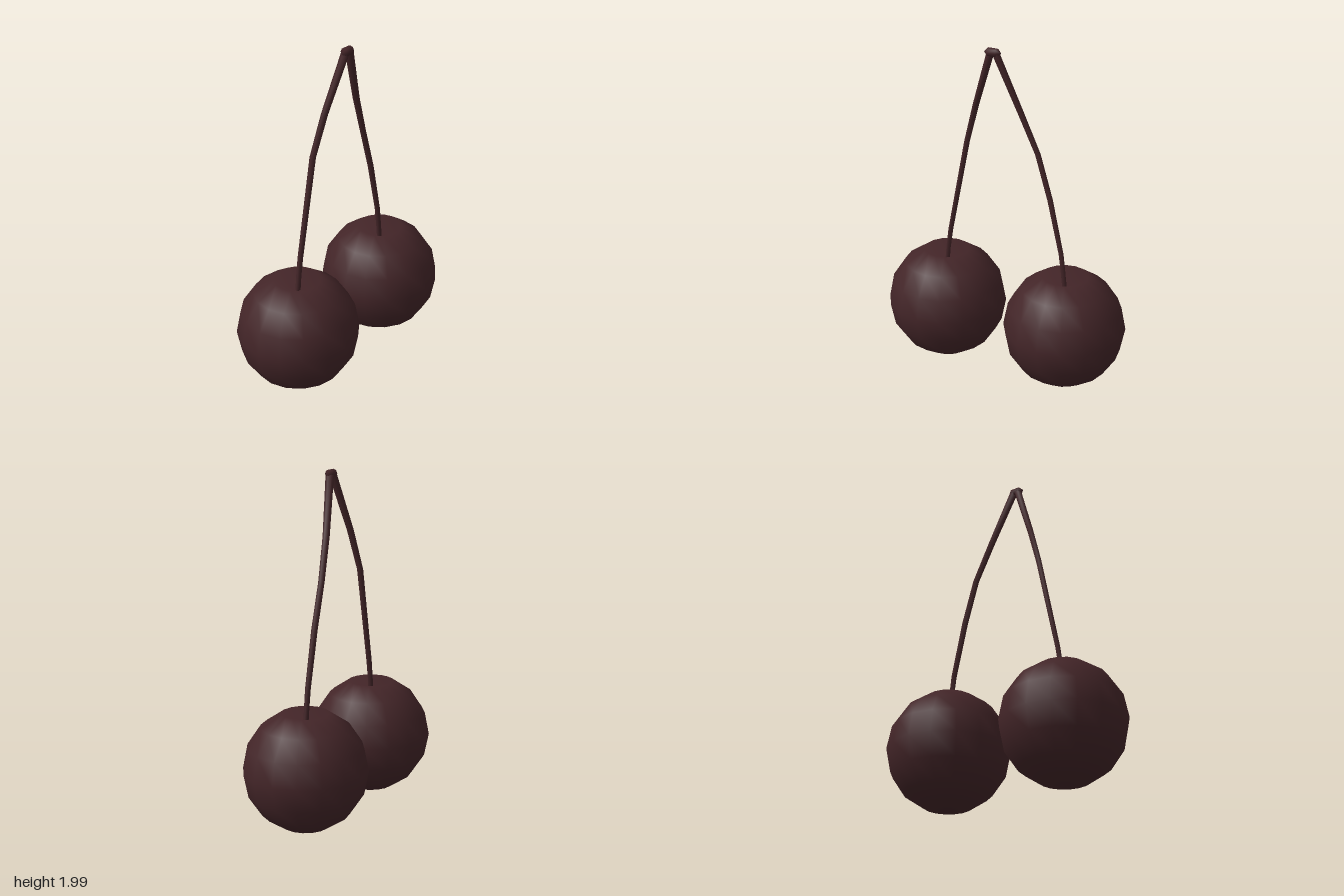
import * as THREE from 'three';
import { mergeVertices } from 'three/addons/utils/BufferGeometryUtils.js';

// Weld the seams and give smooth normals
function smooth(geometry) {
  geometry.deleteAttribute('uv');
  geometry.deleteAttribute('normal');
  const welded = mergeVertices(geometry, 1e-4);
  welded.computeVertexNormals();
  return welded;
}

// Round fruit whose top pole is pushed in to form a dimple
function cherryGeometry() {
  const radius = 0.357;
  const geometry = new THREE.SphereGeometry(radius, 16, 8);
  const pos = geometry.attributes.position;
  for (let i = 0; i < pos.count; i++) {
    if (pos.getY(i) > radius - 0.001) pos.setY(i, 0.25);
  }
  return smooth(geometry);
}

// Tapered stalk: each row of a cylinder is moved to a point [x, y, z, radius]
function stemGeometry(path) {
  const sides = 6;
  const geometry = new THREE.CylinderGeometry(1, 1, 1, sides, path.length - 1, true);
  const pos = geometry.attributes.position;
  for (let i = 0; i < pos.count; i++) {
    const [x, y, z, r] = path[path.length - 1 - Math.floor(i / (sides + 1))];
    pos.setXYZ(i, x + pos.getX(i) * r, y, z + pos.getZ(i) * r);
  }
  return smooth(geometry);
}

export function createModel() {
  const model = new THREE.Group();
  model.name = 'cherries';
  const darkCherry = new THREE.MeshStandardMaterial({ color: 0x432528 });
  darkCherry.name = 'dark cherry';

  function add(name, geometry, x = 0, y = 0, z = 0) {
    const mesh = new THREE.Mesh(geometry, darkCherry);
    mesh.name = name;
    mesh.position.set(x, y, z);
    model.add(mesh);
    return mesh;
  }

  // Two fruits, one behind the other
  const fruit = cherryGeometry();
  add('frontCherry', fruit, 0, 0.361, 0.394);
  add('backCherry', fruit, 0, 0.361, -0.394);

  // Bent stalks meeting at the top
  add('frontStem', stemGeometry([
    [0, 0.59, 0.394, 0.015], [0, 0.7, 0.383, 0.015], [0, 0.82, 0.365, 0.016],
    [0, 1.4, 0.245, 0.018], [0.025, 1.64, 0.17, 0.02], [0.075, 1.98, 0.045, 0.024],
  ]));
  add('backStem', stemGeometry([
    [0, 0.59, -0.394, 0.015], [0, 0.7, -0.381, 0.015], [0, 0.82, -0.365, 0.016],
    [0, 1.14, -0.29, 0.018], [0, 1.4, -0.21, 0.018], [0.025, 1.64, -0.112, 0.02],
    [0.075, 1.98, 0.02, 0.024],
  ]));

  // Small knot joining the stalks
  const knot = smooth(new THREE.SphereGeometry(1, 8, 3).rotateX(Math.PI / 2));
  add('stemKnot', knot, 0.075, 1.973, 0.034).scale.set(0.029, 0.029, 0.053);

  return model;
}
